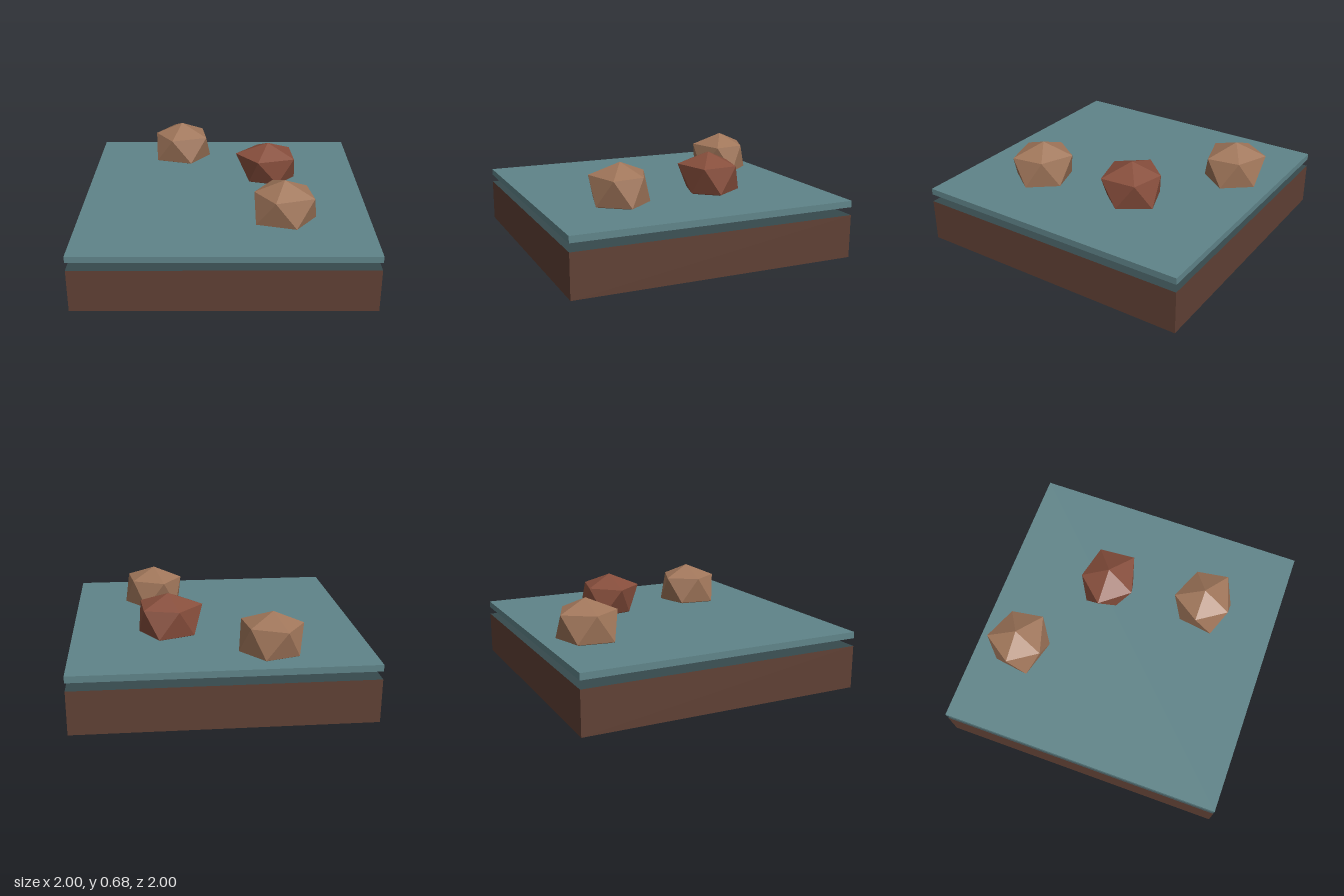
import * as THREE from 'three';

const paint = (name, color, extra = {}) =>
  Object.assign(new THREE.MeshStandardMaterial({ color, ...extra }), { name });

// Faceted boulder: apex, upper ring, lower ring and base point.
// Ring points are [x, z], counter-clockwise seen from above.
function rockGeometry(upper, lower) {
  const top = [0, 0.18, 0], base = [0, -0.175, 0];
  const U = upper.map(([x, z]) => [x, 0.095, z]);
  const L = lower.map(([x, z]) => [x, -0.092, z]);
  const points = [];
  for (let i = 0; i < 5; i++) {
    const j = (i + 1) % 5;
    points.push(top, U[i], U[j], U[i], L[i], U[j], U[j], L[i], L[j], base, L[j], L[i]);
  }
  const geometry = new THREE.BufferGeometry();
  geometry.setAttribute('position', new THREE.Float32BufferAttribute(points.flat(), 3));
  geometry.computeVertexNormals();
  return geometry;
}

export function createModel() {
  const model = new THREE.Group();
  model.name = 'rockyTile';
  const earth = paint('earth brown', 0x5f4034, { side: THREE.DoubleSide });
  const teal = paint('teal', 0x5f8489);
  const deepTeal = paint('deep teal', 0x36494d, { side: THREE.DoubleSide });
  const tan = paint('tan stone', 0xa0765a, { flatShading: true });
  const red = paint('red stone', 0x874e3c, { flatShading: true });

  const add = (name, geometry, material, x, y, z, parent = model) => {
    const mesh = new THREE.Mesh(geometry, material);
    mesh.name = name;
    mesh.position.set(x, y, z);
    parent.add(mesh);
    return mesh;
  };

  // Open-bottomed ring of thin walls
  const walls = new THREE.Group();
  walls.name = 'baseWalls';
  model.add(walls);
  const wall = new THREE.PlaneGeometry(2, 0.3);
  ['frontWall', 'leftWall', 'backWall', 'rightWall'].forEach((name, i) => {
    const a = i * Math.PI / 2;
    add(name, wall, earth, Math.sin(a), 0.15, Math.cos(a), walls).rotation.y = a;
  });

  // Thin bed over the walls, and the slab floating above it
  add('bed', new THREE.PlaneGeometry(2, 2), deepTeal, 0, 0.3, 0).rotation.x = -Math.PI / 2;
  add('surfaceSlab', new THREE.BoxGeometry(2, 0.045, 2), teal, 0, 0.3775, 0);

  // Boulders sunk through the slab
  const tanRock = rockGeometry(
    [[-0.205, 0], [-0.07, 0.2], [0.195, 0.12], [0.16, -0.105], [-0.07, -0.2]],
    [[-0.195, 0.125], [0.075, 0.2], [0.222, 0], [0.07, -0.19], [-0.16, -0.12]]);
  const redRock = rockGeometry(
    [[-0.24, 0], [-0.08, 0.2], [0.19, 0.125], [0.17, -0.13], [-0.07, -0.187]],
    [[-0.14, 0.1], [0.07, 0.16], [0.205, 0], [0.07, -0.21], [-0.175, -0.12]]);
  add('backRock', tanRock, tan, -0.335, 0.5, -0.7);
  add('frontRock', tanRock, tan, 0.41, 0.5, 0.45);
  add('middleRock', redRock, red, 0.33, 0.5, -0.25);

  return model;
}
